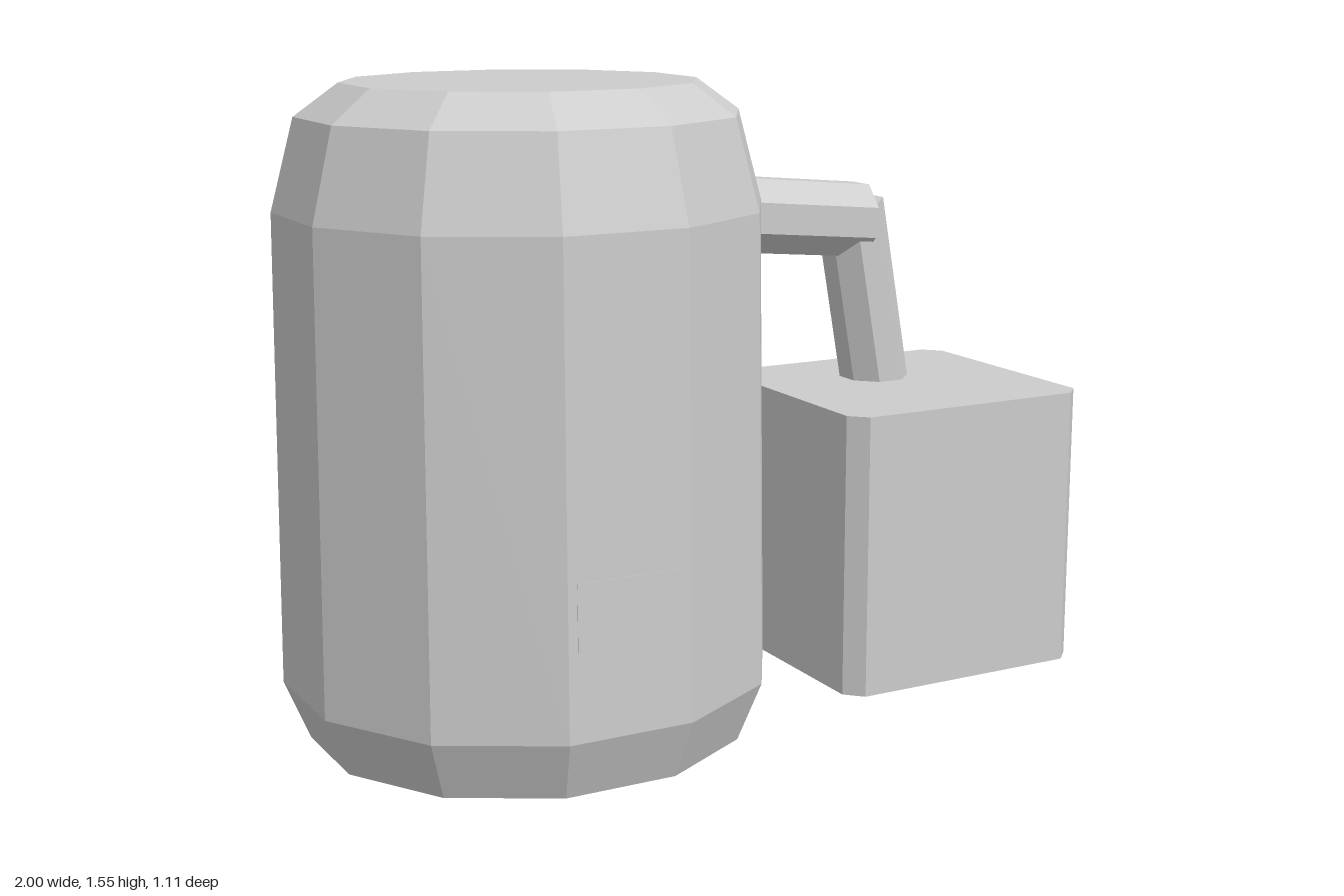
import * as THREE from 'three';

export function createModel() {
  const model = new THREE.Group();
  const grey = new THREE.MeshStandardMaterial({ color: 0xcccccc, flatShading: true });
  grey.name = 'light grey';

  const add = (name, geometry) => {
    const mesh = new THREE.Mesh(geometry, grey);
    mesh.name = name;
    model.add(mesh);
    return mesh;
  };

  // Twelve-sided tank; profile radii are measured to the middle of the flats
  const profile = [[0, 0], [0.515, 0], [0.573, 0.145], [0.56, 1.265], [0.505, 1.48], [0.405, 1.555], [0, 1.555]]
    .map(([r, y]) => new THREE.Vector2(r / Math.cos(Math.PI / 12), y));
  const tank = add('tank', new THREE.LatheGeometry(profile, 12, Math.PI / 12));
  tank.scale.z = 0.965;
  tank.position.set(-0.43, 0, -0.01);

  // Thin plate on the front flat of the tank
  const plate = add('frontPlate', new THREE.BoxGeometry(0.27, 0.155, 0.008));
  plate.position.set(-0.425, 0.432, 0.537);
  plate.rotation.x = -0.01;

  // Side box with chamfered upright edges
  const [hx, hz, c] = [0.3475, 0.335, 0.042];
  const outline = new THREE.Shape([
    [hx - c, -hz], [hx, -hz + c], [hx, hz - c], [hx - c, hz],
    [-hx + c, hz], [-hx, hz - c], [-hx, -hz + c], [-hx + c, -hz],
  ].map(([x, y]) => new THREE.Vector2(x, y)));
  const boxGeometry = new THREE.ExtrudeGeometry(outline, { depth: 0.715, bevelEnabled: false });
  boxGeometry.rotateX(-Math.PI / 2);
  add('sideBox', boxGeometry).position.set(0.6525, 0.02, -0.035);

  // Octagonal pipe between two points in the plane z = -0.13
  const pipe = (name, halfWidth, x0, y0, x1, y1) => {
    const length = Math.hypot(x1 - x0, y1 - y0);
    const r = halfWidth / Math.cos(Math.PI / 8);
    const geometry = new THREE.CylinderGeometry(r, r, length, 8);
    geometry.rotateY(Math.PI / 8);
    const mesh = add(name, geometry);
    mesh.position.set((x0 + x1) / 2, (y0 + y1) / 2, -0.13);
    mesh.rotation.z = Math.atan2(y1 - y0, x1 - x0) - Math.PI / 2;
  };
  pipe('upperPipe', 0.094, 0.03, 1.21, 0.579, 1.157);
  pipe('lowerPipe', 0.083, 0.656, 0.635, 0.553, 1.2);

  return model;
}
